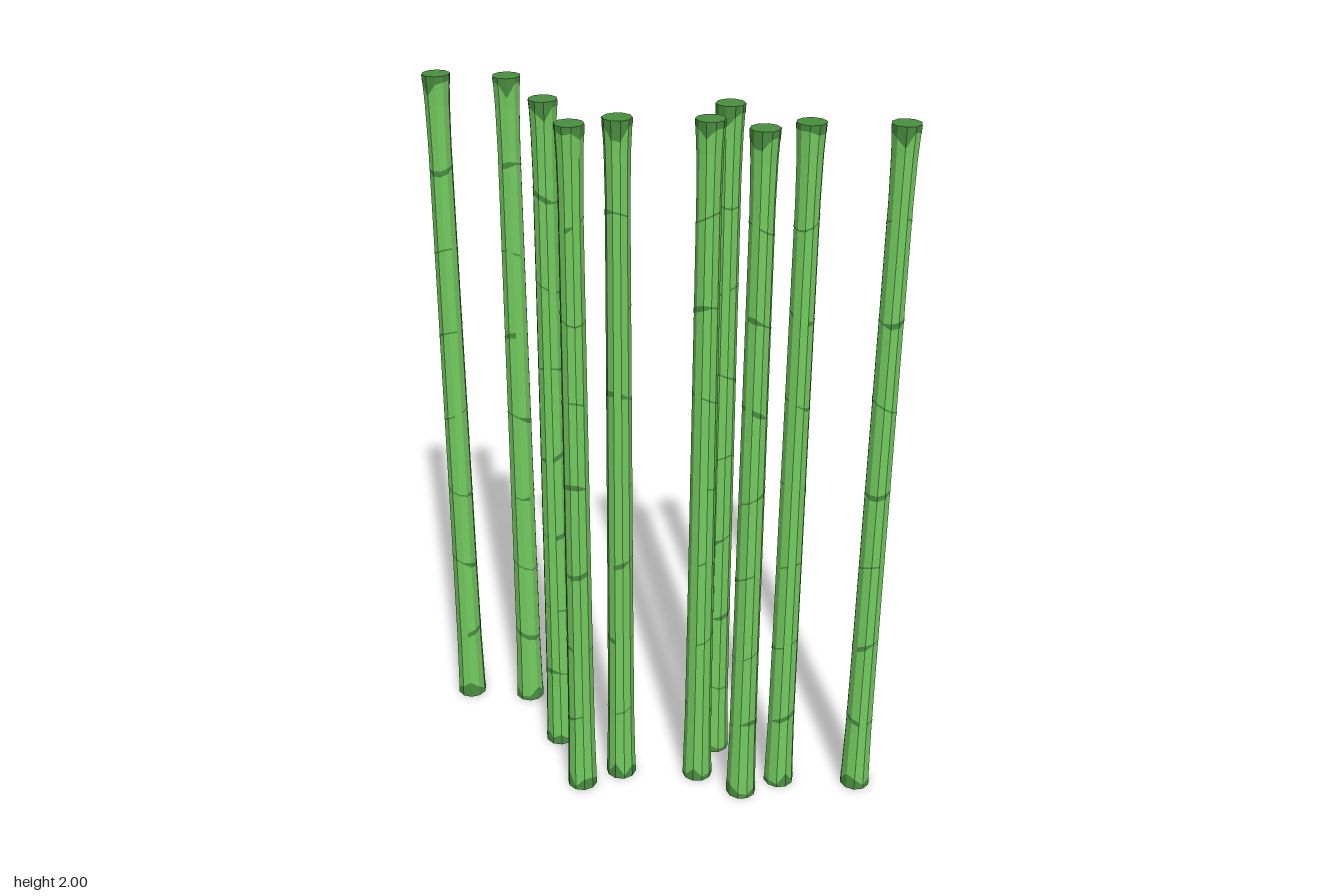
import * as THREE from 'three';

const SIDES = 10;
const STALKS = [
  [-0.625, 0.02], [-0.455, -0.063], [-0.245, 0.07], [-0.068, 0.213], [0.002, 0.108],
  [0.175, -0.147], [0.2, -0.003], [0.35, -0.002], [0.42, -0.107], [0.618, -0.218],
];
// radius and height up the stalk
const PROFILE = [[0.043, 0], [0.039, 0.2], [0.037, 0.5], [0.035, 1], [0.033, 1.5], [0.032, 1.8], [0.034, 1.92], [0.038, 2]];

function radiusAt(y) {
  for (let i = 1; i < PROFILE.length; i++) {
    const [r0, y0] = PROFILE[i - 1], [r1, y1] = PROFILE[i];
    if (y <= y1) return r0 + (r1 - r0) * (y - y0) / (y1 - y0);
  }
  return PROFILE[PROFILE.length - 1][0];
}

function seeded(seed) {
  let s = seed;
  return () => (s = (s * 16807) % 2147483647) / 2147483647;
}

// thin painted strip on chosen facets, with a free lower and upper edge
function strip(low, high, shown) {
  const pos = [];
  const point = (i, y) => {
    const a = (i / SIDES) * Math.PI * 2, r = radiusAt(y) + 0.0008;
    return [Math.sin(a) * r, y, Math.cos(a) * r];
  };
  for (let i = 0; i < SIDES; i++) {
    if (!shown(i)) continue;
    const j = (i + 1) % SIDES;
    const a = point(i, low(i)), b = point(j, low(j)), c = point(j, high(j)), d = point(i, high(i));
    pos.push(...a, ...b, ...c, ...a, ...c, ...d);
  }
  const g = new THREE.BufferGeometry();
  g.setAttribute('position', new THREE.Float32BufferAttribute(pos, 3));
  g.computeVertexNormals();
  return g;
}

export function createModel() {
  const green = new THREE.MeshStandardMaterial({ color: 0x74cc60, flatShading: true });
  const darkGreen = new THREE.MeshStandardMaterial({ color: 0x4a8f40, flatShading: true });
  green.name = 'stalkGreen';
  darkGreen.name = 'nodeDarkGreen';

  const model = new THREE.Group();
  model.name = 'bambooStalks';
  const wall = new THREE.LatheGeometry(PROFILE.map(([r, y]) => new THREE.Vector2(r, y)), SIDES);

  STALKS.forEach(([x, z], n) => {
    const rand = seeded(1234 + n * 7919);
    const stalk = new THREE.Group();
    stalk.name = 'stalk' + (n + 1);
    const add = (geometry, material, name) => {
      const mesh = new THREE.Mesh(geometry, material);
      mesh.name = name;
      stalk.add(mesh);
      return mesh;
    };
    add(wall, green, 'stalkWall');

    // end discs
    const top = add(new THREE.CircleGeometry(0.038, SIDES), darkGreen, 'topCap');
    top.rotation.set(-Math.PI / 2, 0, Math.PI / 2);
    top.position.y = 2;
    const bottom = add(new THREE.CircleGeometry(0.043, SIDES), green, 'bottomCap');
    bottom.rotation.set(Math.PI / 2, 0, Math.PI / 2);

    // ragged dark collars at both ends
    const topEdge = Array.from({ length: SIDES }, () => 1.985 - 0.04 * rand() ** 2);
    const bottomEdge = Array.from({ length: SIDES }, () => 0.01 + 0.045 * rand() ** 1.5);
    add(strip(i => topEdge[i], () => 2, () => true), darkGreen, 'topCollar');
    add(strip(() => 0, i => bottomEdge[i], () => true), darkGreen, 'bottomCollar');

    // broken, slightly tilted node rings
    for (let k = 1; k < 8; k++) {
      const tilt = rand() * Math.PI * 2;
      const blot = Math.floor(rand() * SIDES);
      const mid = i => k * 0.25 + 0.018 * Math.cos((i / SIDES) * Math.PI * 2 + tilt);
      const half = i => ((i - blot + SIDES) % SIDES < 3 ? 0.008 : 0.0025);
      const gaps = Array.from({ length: SIDES }, () => rand() < 0.25);
      add(strip(i => mid(i) - half(i), i => mid(i) + half(i), i => !gaps[i]), darkGreen, 'nodeRing');
    }

    stalk.position.set(x, 0, z);
    stalk.rotation.y = rand() * Math.PI * 2;
    model.add(stalk);
  });
  return model;
}
